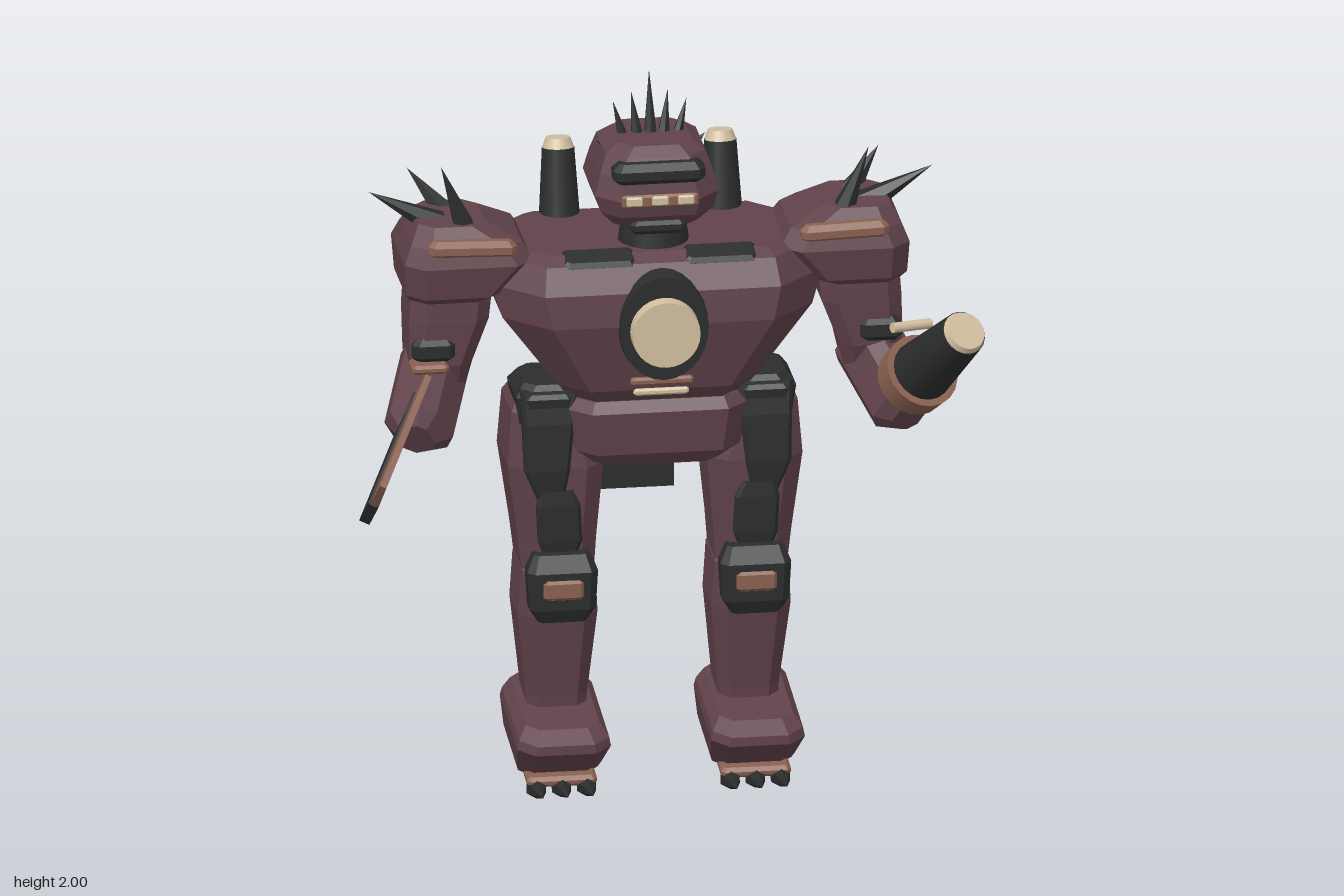
import * as THREE from 'three';

const mat = (name, color) => {
  const m = new THREE.MeshStandardMaterial({ color });
  m.name = name;
  return m;
};

// Faceted solid from chamfered rectangles stacked upward: [y, cx, cz, halfWidth, halfDepth, chamfer]
function loft(rings) {
  const pos = [];
  const pts = rings.map(([y, cx, cz, w, d, c]) =>
    [[w, -d + c], [w, d - c], [w - c, d], [c - w, d], [-w, d - c], [-w, c - d], [c - w, -d], [w - c, -d]]
      .map(([x, z]) => [cx + x, y, cz + z]));
  const tri = (...t) => t.forEach((p) => pos.push(...p));
  for (let i = 0; i < pts.length - 1; i++) {
    for (let k = 0; k < 8; k++) {
      const n = (k + 1) % 8, a = pts[i][k], b = pts[i][n], c = pts[i + 1][k], d = pts[i + 1][n];
      tri(a, c, b);
      tri(b, c, d);
    }
  }
  const last = pts.length - 1;
  for (let k = 1; k < 7; k++) {
    tri(pts[0][0], pts[0][k], pts[0][k + 1]);
    tri(pts[last][0], pts[last][k + 1], pts[last][k]);
  }
  const g = new THREE.BufferGeometry();
  g.setAttribute('position', new THREE.Float32BufferAttribute(pos, 3));
  g.computeVertexNormals();
  return g;
}

// Box with all edges bevelled, centred on the origin
function block(w, h, d, b) {
  const x = w / 2, y = h / 2, z = d / 2;
  return loft([[-y, 0, 0, x - b, z - b, b * 0.6], [b - y, 0, 0, x, z, b],
    [y - b, 0, 0, x, z, b], [y, 0, 0, x - b, z - b, b * 0.6]]);
}

export function createModel() {
  const root = new THREE.Group();
  root.name = 'armouredRobot';
  const armour = mat('maroon armour', 0x60424a);
  const dark = mat('dark metal', 0x2b2d2d);
  const copper = mat('copper trim', 0x8a6050);
  const cream = mat('cream', 0xd2bf9f);

  const add = (name, geo, material, p = [0, 0, 0], r = [0, 0, 0]) => {
    const m = new THREE.Mesh(geo, material);
    m.name = name;
    m.position.set(...p);
    m.rotation.set(...r);
    root.add(m);
    return m;
  };
  // Places a mesh so its +y axis runs from a to b; make() receives the length
  const between = (name, make, material, a, b) => {
    const A = new THREE.Vector3(...a), dir = new THREE.Vector3(...b).sub(A);
    const len = dir.length();
    const m = add(name, make(len), material);
    m.position.copy(A).addScaledVector(dir, 0.5);
    m.quaternion.setFromUnitVectors(new THREE.Vector3(0, 1, 0), dir.normalize());
    return m;
  };
  const spike = (name, a, b, r) =>
    between(name, (l) => new THREE.ConeGeometry(r, l, 6).toNonIndexed(), dark, a, b).geometry.computeVertexNormals();
  const tube = (name, material, a, b, r0, r1) =>
    between(name, (l) => new THREE.CylinderGeometry(r1, r0, l, 20), material, a, b);

  // Torso and pelvis
  add('torso', loft([
    [1.11, 0, -0.14, 0.22, 0.16, 0.06], [1.17, 0, -0.14, 0.27, 0.21, 0.08],
    [1.37, 0, -0.14, 0.42, 0.26, 0.12], [1.46, 0, -0.145, 0.45, 0.255, 0.13],
    [1.53, 0, -0.15, 0.42, 0.22, 0.11], [1.55, 0, -0.15, 0.38, 0.18, 0.09]]), armour);
  add('pelvis', loft([
    [0.94, 0, -0.14, 0.18, 0.16, 0.05], [0.98, 0, -0.14, 0.23, 0.19, 0.06],
    [1.1, 0, -0.145, 0.255, 0.205, 0.07], [1.13, 0, -0.14, 0.235, 0.18, 0.06]]), armour);
  const rim = add('chestRing', new THREE.CylinderGeometry(0.12, 0.13, 0.1, 28), dark, [0, 1.365, 0.085], [Math.PI / 2, 0, 0]);
  rim.scale.z = 1.22;
  add('chestDial', new THREE.CylinderGeometry(0.092, 0.097, 0.12, 28), cream, [0, 1.36, 0.115], [Math.PI / 2, 0, 0]);
  add('waistTrim', block(0.17, 0.022, 0.05, 0.006), copper, [0, 1.2, 0.07]);
  add('waistBar', block(0.15, 0.02, 0.06, 0.006), cream, [0, 1.165, 0.05]);
  add('backVent', block(0.13, 0.03, 0.03, 0.008), dark, [0, 1.545, -0.355], [-0.5, 0, 0]);
  add('backPlate', new THREE.BoxGeometry(0.2, 0.55, 0.014), dark, [0, 1.005, -0.392], [-0.03, 0, 0]);
  add('backPlatePeg', block(0.02, 0.04, 0.04, 0.005), cream, [0, 1.28, -0.385]);

  // Head
  add('neck', new THREE.CylinderGeometry(0.085, 0.1, 0.1, 16), dark, [0, 1.575, -0.08]);
  add('head', loft([
    [1.61, 0, -0.12, 0.115, 0.12, 0.04], [1.65, 0, -0.125, 0.15, 0.16, 0.05],
    [1.7, 0, -0.125, 0.168, 0.175, 0.06], [1.76, 0, -0.125, 0.152, 0.165, 0.06],
    [1.81, 0, -0.125, 0.135, 0.14, 0.05], [1.835, 0, -0.125, 0.1, 0.11, 0.04]]), armour);
  add('visor', block(0.25, 0.06, 0.08, 0.018), dark, [0, 1.773, 0.017]);
  add('chin', block(0.15, 0.04, 0.08, 0.012), dark, [0, 1.615, -0.01]);
  add('mouthTrim', block(0.21, 0.036, 0.02, 0.006), copper, [0, 1.7, 0.046]);
  for (const x of [-0.07, 0, 0.07]) add('tooth', block(0.045, 0.026, 0.016, 0.004), cream, [x, 1.702, 0.055]);
  for (let i = -3; i <= 3; i++) {
    const n = Math.abs(i);
    spike('headSpike', [i * 0.034, 1.815 - n * n * 0.004, -0.13],
      [i * 0.05, [2, 1.945, 1.92, 1.82][n], -0.16 + n * 0.006], 0.02);
  }

  for (const s of [-1, 1]) {
    // Chest collar plate and exhaust stack
    add('collarPlate', block(0.2, 0.03, 0.08, 0.012), dark, [s * 0.165, 1.535, 0.035], [0.35, 0, 0]);
    tube('exhaust', dark, [s * 0.22, 1.5, -0.315], [s * 0.22, 1.725, -0.345], 0.058, 0.044);
    tube('exhaustCap', cream, [s * 0.22, 1.725, -0.345], [s * 0.22, 1.752, -0.349], 0.043, 0.033);

    // Shoulder pad
    add('shoulderPad', loft([
      [1.41, s * 0.56, -0.13, 0.1, 0.12, 0.04], [1.44, s * 0.545, -0.13, 0.135, 0.16, 0.05],
      [1.53, s * 0.51, -0.135, 0.175, 0.18, 0.05], [1.58, s * 0.515, -0.13, 0.15, 0.16, 0.05],
      [1.628, s * 0.55, -0.13, 0.09, 0.11, 0.04]]), armour);
    add('shoulderTrim', block(0.24, 0.05, 0.05, 0.015), copper, [s * 0.505, 1.577, 0.018], [0, 0, s * 0.03]);
    spike('shoulderSpike', [s * 0.51, 1.6, -0.06], [s * 0.58, 1.79, -0.05], 0.034);
    spike('shoulderSpike', [s * 0.57, 1.595, -0.13], [s * 0.765, 1.7, -0.13], 0.04);
    spike('shoulderSpike', [s * 0.54, 1.595, -0.2], [s * 0.64, 1.71, -0.28], 0.036);

    // Arm
    add('upperArm', loft([
      [1.16, s * 0.585, -0.1, 0.07, 0.07, 0.025], [1.24, s * 0.583, -0.1, 0.085, 0.1, 0.035],
      [1.36, s * 0.56, -0.115, 0.108, 0.118, 0.04], [1.47, s * 0.55, -0.12, 0.11, 0.12, 0.04]]), armour);
    between('forearm', (l) => block(0.16, l, 0.17, 0.035), armour,
      [s * 0.575, 1.23, -0.15], [s * 0.67, 1.075, 0.11]);
    add('elbowPlate', block(0.12, 0.07, 0.05, 0.018), dark, [s * 0.605, 1.285, -0.01]);

    // Hip and thigh
    add('hip', loft([
      [0.98, s * 0.29, -0.11, 0.07, 0.1, 0.03], [1.13, s * 0.295, -0.11, 0.085, 0.115, 0.03],
      [1.165, s * 0.295, -0.11, 0.06, 0.09, 0.03]]), dark);
    add('thigh', loft([
      [0.6, s * 0.262, -0.13, 0.095, 0.12, 0.04], [0.72, s * 0.265, -0.135, 0.106, 0.13, 0.045],
      [0.93, s * 0.27, -0.148, 0.13, 0.152, 0.05], [1.08, s * 0.29, -0.15, 0.098, 0.135, 0.04],
      [1.12, s * 0.295, -0.15, 0.07, 0.1, 0.03]]), armour);
    add('thighGuard', loft([
      [0.84, s * 0.29, -0.01, 0.035, 0.022, 0.01], [0.93, s * 0.3, -0.01, 0.062, 0.028, 0.01],
      [1.06, s * 0.295, -0.02, 0.07, 0.03, 0.01], [1.15, s * 0.29, -0.035, 0.08, 0.03, 0.01]]), dark);
    add('lowerThighGuard', loft([
      [0.7, s * 0.265, -0.005, 0.05, 0.022, 0.01], [0.73, s * 0.265, -0.005, 0.06, 0.026, 0.01],
      [0.83, s * 0.27, -0.005, 0.06, 0.026, 0.01], [0.87, s * 0.275, -0.005, 0.045, 0.022, 0.01]]), dark);

    // Knee and shin
    add('knee', loft([
      [0.505, s * 0.262, 0.005, 0.065, 0.03, 0.012], [0.545, s * 0.262, 0.01, 0.09, 0.045, 0.02],
      [0.65, s * 0.262, 0.01, 0.096, 0.045, 0.02], [0.695, s * 0.262, 0, 0.075, 0.03, 0.012]]), dark);
    add('kneeTrim', block(0.11, 0.055, 0.02, 0.008), copper, [s * 0.262, 0.603, 0.053]);
    add('shin', loft([
      [0.2, s * 0.26, -0.16, 0.08, 0.09, 0.03], [0.26, s * 0.26, -0.16, 0.083, 0.095, 0.03],
      [0.5, s * 0.262, -0.14, 0.108, 0.12, 0.04], [0.63, s * 0.262, -0.132, 0.1, 0.125, 0.04],
      [0.66, s * 0.262, -0.132, 0.08, 0.11, 0.03]]), armour);

    // Foot with sole and claws
    add('foot', loft([
      [-0.085, 0, -0.05, 0.108, 0.15, 0.04], [-0.06, 0, -0.045, 0.115, 0.165, 0.04],
      [0.03, 0, 0, 0.127, 0.212, 0.045], [0.055, 0, 0, 0.122, 0.208, 0.045],
      [0.082, 0, -0.02, 0.1, 0.18, 0.035]]), armour, [s * 0.263, 0.15, -0.1], [0.12, 0, 0]);
    add('sole', block(0.19, 0.03, 0.3, 0.01), copper, [s * 0.263, 0.067, -0.11], [0.12, 0, 0]);
    for (const x of [-0.068, 0, 0.068]) spike('toeClaw', [s * 0.263 + x, 0.03, 0.015], [s * 0.263 + x, 0.045, 0.145], 0.03);
  }

  // Arm cannon on the left forearm
  const base = new THREE.Vector3(0.685, 1.18, 0.1), tip = new THREE.Vector3(0.79, 1.385, 0.325);
  const at = (t) => base.clone().lerp(tip, t).toArray();
  tube('cannonCuff', copper, at(-0.08), at(0.14), 0.1, 0.104);
  tube('cannonBarrel', dark, at(0.1), at(0.96), 0.086, 0.062);
  tube('cannonMuzzle', cream, at(0.96), at(1.01), 0.06, 0.053);
  tube('cannonSight', cream, [0.62, 1.33, 0.12], [0.73, 1.32, 0.07], 0.014, 0.014);

  // Flat blade on the right forearm, oriented along its long edge
  const blade = new THREE.Group();
  blade.name = 'blade';
  const along = new THREE.Vector3(-0.17, -0.225, 0.28).normalize();
  const up = new THREE.Vector3(0.05, 0.17, 0.1);
  up.addScaledVector(along, -up.dot(along)).normalize();
  blade.quaternion.setFromRotationMatrix(
    new THREE.Matrix4().makeBasis(along, up, along.clone().cross(up)));
  blade.position.set(-0.74, 1.09, 0.22);
  root.add(blade);
  blade.add(add('bladeSpine', new THREE.BoxGeometry(0.38, 0.11, 0.018), copper, [0, 0.048, 0]));
  blade.add(add('bladeEdge', new THREE.BoxGeometry(0.38, 0.1, 0.03), dark, [0, -0.052, 0]));
  add('wristTrim', block(0.1, 0.025, 0.08, 0.008), copper, [-0.62, 1.243, 0]);

  return root;
}
